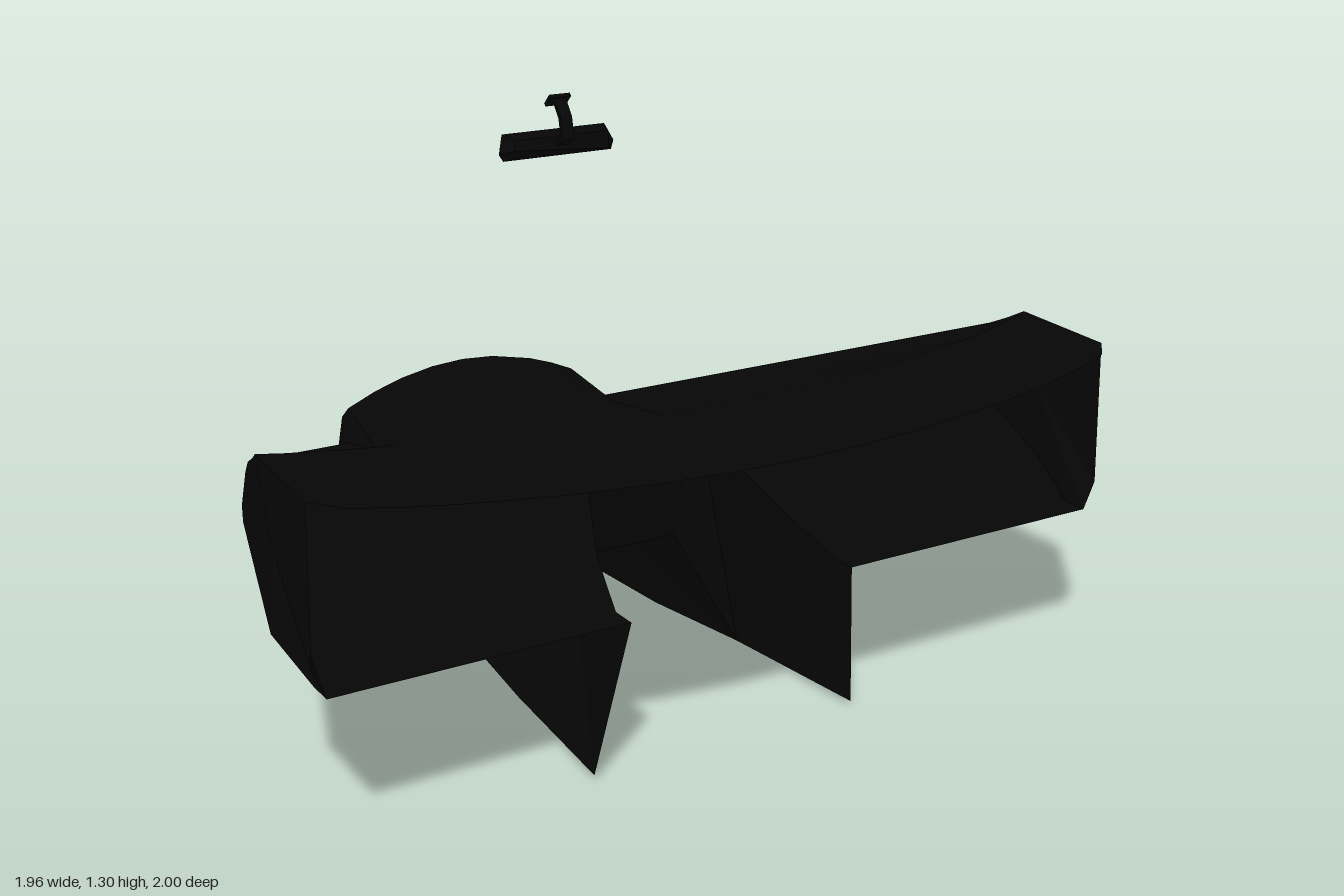
import * as THREE from 'three';

const plastic = new THREE.MeshStandardMaterial({ color: 0x060606, side: THREE.DoubleSide, flatShading: true });
plastic.name = 'black plastic';

// Mesh from polygons; each polygon is a fan of [x, y, z] points
function faces(name, polys) {
  const pos = [];
  for (const p of polys)
    for (let i = 1; i < p.length - 1; i++) pos.push(...p[0], ...p[i], ...p[i + 1]);
  const g = new THREE.BufferGeometry();
  g.setAttribute('position', new THREE.Float32BufferAttribute(pos, 3));
  g.computeVertexNormals();
  const m = new THREE.Mesh(g, plastic);
  m.name = name;
  return m;
}
const flip = ([x, y, z]) => [-x, y, z];
const mirrored = (polys) => [...polys, ...polys.map((p) => p.map(flip).reverse())];
const strip = (a, b) => a.slice(1).map((p, i) => [a[i], p, b[i + 1], b[i]]);

// Instrument hood on the driver's side, with steep flanks
const inHood = (x) => x > -0.725 && x < -0.195;
const hood = (x) => (inHood(x) ? 0.5 + 0.5 * (1 - ((x + 0.46) / 0.26) ** 2) : 0);

// Dashboard cross-section at x, from the front lip over the top and down the back
function section(x) {
  const u = Math.abs(x) / 0.98;
  const end = u > 0.99;
  const h = hood(x);
  const lip = end ? 0.78 : 1 - 0.17 * u * u - 0.025 * u ** 12;
  const crease = 0.77 - 0.24 * u * u;
  const drop = 0.015 * u * u;
  const rows = [
    [lip, 0.74 + 1.5 * drop, 0.975],
    [crease, 0.79 - drop, 0.97],
    [Math.min(0.58, crease - 0.04), 0.752 + 0.03 * h, 0.96],
    [h ? 0.412 : 0.44, 0.727 + 0.125 * h, 0.95],
    [h ? 0.38 : 0.385, 0.685 + 0.153 * h, 0.935],
    [0.37, 0.61, 0.94],
    [0.385, 0.58, 0.945],
    [0.6, 0.43, 0.982],
    [0.73, 0.367, 0.952],
    [0.79, 0.367, 0.952],
  ];
  return rows.map(([z, y, e]) => [end ? Math.sign(x) * e : x, y, z]);
}

function dashboard() {
  const group = new THREE.Group();
  group.name = 'dashboard';
  const xs = [-0.98, -0.92, -0.82, -0.735, -0.72, -0.66, -0.6, -0.53, -0.46, -0.39, -0.3, -0.25, -0.2, -0.185,
    -0.1, 0, 0.1, 0.3, 0.5, 0.65, 0.82, 0.92, 0.98];
  const secs = xs.map(section);
  const shell = [];
  for (let i = 0; i < xs.length - 1; i++) {
    const mid = (xs[i] + xs[i + 1]) / 2;
    for (let j = 0; j < secs[i].length - 1; j++) {
      if (inHood(mid) && j === 4) continue; // instrument opening
      if (Math.abs(mid) < 0.3 && j > 5) continue; // console joins here
      shell.push([secs[i][j], secs[i + 1][j], secs[i + 1][j + 1], secs[i][j + 1]]);
    }
  }
  group.add(faces('dashboardShell', shell));

  // Underside next to the console flanks
  const edge = section(0.3).slice(6);
  const flank = [0.155, 0.245, 0.28, 0.28].map((x, i) => [x, edge[i][1], edge[i][2]]);
  group.add(faces('consoleSurround', mirrored(strip(edge, flank))));

  // End panels, closing the shell on both sides
  const rim = section(0.98);
  rim.push([0.98, 0.43, 0.79]);
  const hub = [0.97, 0.6, 0.6];
  group.add(faces('endPanels', mirrored(rim.map((p, i) => [hub, rim[(i + 1) % rim.length], p]))));

  // Tunnel of the instrument opening, narrowing to a rectangular frame
  const brow = xs.filter(inHood).map((x) => section(x)[4]);
  const frameTop = brow.map(([x]) => [-0.46 + (x + 0.46) * 0.846, 0.775, 0.47]);
  const n = brow.length - 1;
  const outer = [brow[0], [-0.725, 0.72, 0.395], [-0.73, 0.61, 0.362], [-0.19, 0.61, 0.37], [-0.195, 0.72, 0.395], brow[n]];
  const inner = [frameTop[0], [-0.68, 0.72, 0.47], [-0.68, 0.67, 0.47], [-0.24, 0.67, 0.47], [-0.24, 0.72, 0.47], frameTop[n]];
  group.add(faces('instrumentTunnel', [...strip(brow, frameTop), ...strip(outer, inner)]));
  return group;
}

// Centre console: a channel open below and at the front
function centreConsole() {
  const top = [[0.135, 0.055, -1], [0.135, 0.115, -0.72], [0.138, 0.255, -0.06], [0.138, 0.302, 0.312], [0.155, 0.58, 0.385]];
  const foot = [[0.135, 0.05, -1], [0.21, 0, -0.72], [0.255, 0.005, 0.06], [0.297, 0.01, 0.35], [0.335, 0.012, 0.74]];
  const polys = strip(top.slice(0, 4), foot.slice(0, 4));
  polys.push([foot[3], top[3], top[4], [0.245, 0.43, 0.6], [0.28, 0.367, 0.73], [0.28, 0.367, 0.79], foot[4]]);
  return faces('centreConsole', [...mirrored(polys), ...strip(top, top.map(flip))]);
}

function rearMirror() {
  const group = new THREE.Group();
  group.name = 'rearMirror';
  // Housing tapers to the front and leans down toward the back
  const back = [[0.142, 1.157, 0.012], [0.15, 1.172, 0.006], [0.135, 1.215, -0.008]];
  const front = [[0.125, 1.165, 0.03], [0.13, 1.185, 0.042], [0.12, 1.207, 0.035]];
  const ring = (p) => [...p, ...p.map(flip).reverse()];
  const a = ring(back), b = ring(front);
  group.add(faces('mirrorHousing', [[...a].reverse(), b, ...strip([...a, a[0]], [...b, b[0]])]));
  // Bent arm
  const path = [[1.19, 0.035], [1.205, 0.055], [1.25, 0.045], [1.29, 0.015]];
  for (let i = 0; i < 3; i++) {
    const [y0, z0] = path[i], [y1, z1] = path[i + 1];
    const arm = new THREE.Mesh(new THREE.BoxGeometry(0.03, Math.hypot(y1 - y0, z1 - z0) + 0.004, 0.01), plastic);
    arm.position.set(0, (y0 + y1) / 2, (z0 + z1) / 2);
    arm.rotation.x = Math.atan2(z1 - z0, y1 - y0);
    arm.name = 'mirrorArm';
    group.add(arm);
  }
  const plate = new THREE.Mesh(new THREE.BoxGeometry(0.054, 0.009, 0.032), plastic);
  plate.position.set(0, 1.285, 0.011);
  plate.rotation.x = -0.8;
  plate.name = 'mirrorMount';
  group.add(plate);
  return group;
}

export function createModel() {
  const model = new THREE.Group();
  model.name = 'carDashboard';
  model.add(dashboard(), centreConsole(), rearMirror());
  return model;
}
